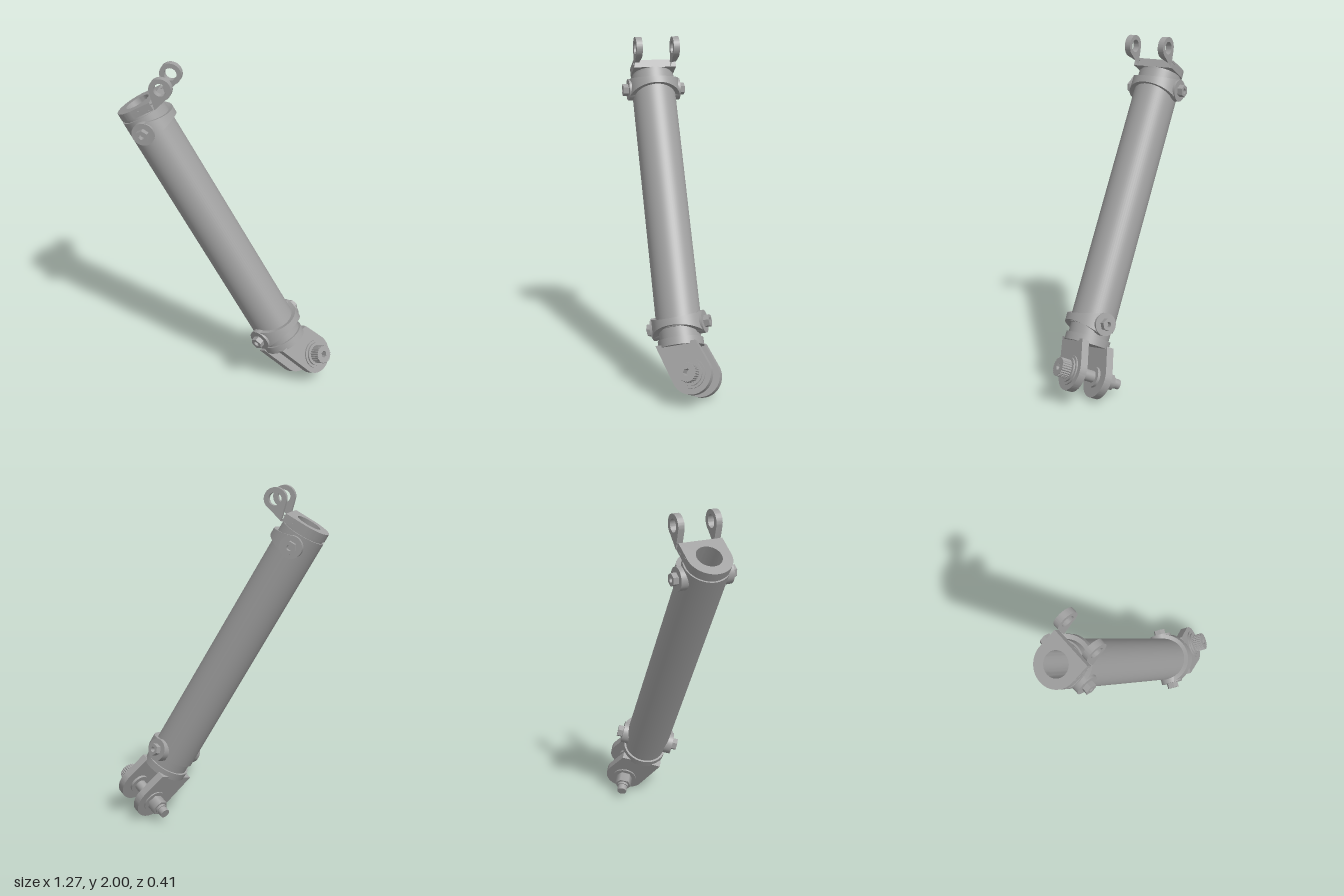
import * as THREE from 'three';
import { toCreasedNormals } from 'three/addons/utils/BufferGeometryUtils.js';

const steel = new THREE.MeshStandardMaterial({ color: 0xa0a0a0 });
steel.name = 'steel grey';

function add(parent, name, geometry, x = 0, y = 0, z = 0) {
  const mesh = new THREE.Mesh(geometry, steel);
  mesh.name = name;
  mesh.position.set(x, y, z);
  parent.add(mesh);
  return mesh;
}

function addGroup(parent, name) {
  const group = new THREE.Group();
  group.name = name;
  parent.add(group);
  return group;
}

const extrude = (shape, depth) =>
  toCreasedNormals(new THREE.ExtrudeGeometry(shape, { depth, bevelEnabled: false, curveSegments: 24 }), 0.6);

// Round hole or polygon hole of n sides
function hole(x, y, r, n = 32) {
  const pts = [];
  for (let i = 0; i < n; i++) {
    const a = (i / n) * Math.PI * 2;
    pts.push(new THREE.Vector2(x + r * Math.cos(a), y + r * Math.sin(a)));
  }
  return new THREE.Path(pts);
}

// Round eye joined by tangents to two base points (left and right of it)
function lugShape(cx, cy, r, base1, base2, holeR) {
  const tangent = ([x, y], side) =>
    Math.atan2(y - cy, x - cx) + side * Math.acos(r / Math.hypot(x - cx, y - cy));
  const a1 = tangent(base1, -1);
  const a2 = tangent(base2, 1);
  const shape = new THREE.Shape();
  shape.moveTo(...base1);
  shape.lineTo(cx + r * Math.cos(a1), cy + r * Math.sin(a1));
  shape.absarc(cx, cy, r, a1, a2, true);
  shape.lineTo(...base2);
  shape.closePath();
  if (holeR) shape.holes.push(hole(cx, cy, holeR));
  return shape;
}

// Half-round strap, narrow at +x and tall at the bolts
function strapGeometry(n = 36) {
  const rings = [];
  for (let i = 0; i <= n; i++) {
    const t = (i / n - 0.5) * Math.PI;
    const h = 0.066 - 0.046 * Math.cos(t);
    rings.push([[0.122, -h], [0.157, -h], [0.157, h], [0.122, h]]
      .map(([r, y]) => [r * Math.cos(t), y, r * Math.sin(t)]));
  }
  const pos = [];
  const quad = (a, b, c, d) => pos.push(...a, ...b, ...c, ...a, ...c, ...d);
  for (let i = 0; i < n; i++) {
    for (let k = 0; k < 4; k++) {
      const m = (k + 1) % 4;
      quad(rings[i][k], rings[i][m], rings[i + 1][m], rings[i + 1][k]);
    }
  }
  quad(...[...rings[0]].reverse());
  quad(...rings[n]);
  const g = new THREE.BufferGeometry();
  g.setAttribute('position', new THREE.Float32BufferAttribute(pos, 3));
  return toCreasedNormals(g, 0.6);
}

// Strap with an ear and a socketed hex bolt on each side
function addClamp(parent, name, y) {
  const clamp = addGroup(parent, name);
  clamp.position.y = y;
  add(clamp, 'strap', strapGeometry());
  const hex = new THREE.Shape(hole(0, 0, 0.037, 6).getPoints());
  hex.holes.push(hole(0, 0, 0.016, 16));
  for (const side of [1, -1]) {
    add(clamp, 'ear', new THREE.CylinderGeometry(0.066, 0.066, 0.058, 40), 0, 0, side * 0.129)
      .rotation.x = Math.PI / 2;
    add(clamp, 'hexBolt', extrude(hex, 0.033), 0, 0, side > 0 ? 0.157 : -0.19);
  }
}

export function createModel() {
  const model = new THREE.Group();
  model.name = 'strut';

  // Everything is built around the strut axis, then leaned over
  const strut = addGroup(model, 'leaningStrut');
  strut.rotation.z = Math.PI / 6;
  strut.position.set(0.388, 0.224, 0.008);

  // Tube with stepped necks and an open bore at the top
  const profile = [[0, 0.1], [0.12, 0.1], [0.12, 0.18], [0.131, 0.18], [0.131, 1.758], [0.122, 1.758],
    [0.122, 1.775], [0.073, 1.775], [0.073, 1.3], [0, 1.3]].map(([x, y]) => new THREE.Vector2(x, y));
  add(strut, 'tube', toCreasedNormals(new THREE.LatheGeometry(profile, 64), 0.6));

  // Upper fork: bored plate with a square front and two lugs
  const upper = addGroup(strut, 'upperFork');
  const plate = new THREE.Shape();
  plate.moveTo(0.12, -0.13);
  plate.lineTo(0.12, 0.13);
  plate.lineTo(0, 0.13);
  plate.absarc(0, 0, 0.13, Math.PI / 2, Math.PI * 1.5, false);
  plate.closePath();
  plate.holes.push(hole(0, 0, 0.073, 48));
  add(upper, 'headPlate', extrude(plate, 0.048), 0, 1.772, 0).rotation.x = -Math.PI / 2;
  const upperLug = lugShape(0.215, 1.857, 0.064, [0.125, 1.768], [0, 1.818], 0.037);
  // The eye lies up and to the right, so its base points run from lower to upper
  for (const z of [0.094, -0.131]) add(upper, 'upperLug', extrude(orient(upperLug), 0.037), 0, 0, z);
  addClamp(upper, 'upperClamp', 1.678);

  // Lower fork, turned about the axis
  const lower = addGroup(strut, 'lowerFork');
  lower.rotation.y = -Math.PI / 6;
  addClamp(lower, 'lowerClamp', 0.204);
  add(lower, 'basePlate', new THREE.CylinderGeometry(0.132, 0.132, 0.045, 64), 0, 0.098, 0);
  const lowerLug = lugShape(0.071, -0.095, 0.117, [0.118, 0.09], [-0.122, 0.09], 0);
  for (const x of [-0.115, 0.055]) {
    add(lower, 'lowerLug', extrude(orient(lowerLug), 0.045), x, 0, 0).rotation.y = Math.PI / 2;
  }

  // Pin through the lower lugs: [name, from, to, radius, sides]
  const pin = addGroup(lower, 'pinAssembly');
  pin.position.set(0, -0.095, -0.071);
  const pieces = [
    ['pinShaft', -0.2, 0.11, 0.034, 32],
    ['innerWasher', -0.07, -0.055, 0.06, 40],
    ['innerWasher', 0.04, 0.055, 0.06, 40],
    ['outerWasher', 0.1, 0.108, 0.085, 48],
    ['outerWasher', 0.108, 0.118, 0.07, 48],
    ['backWasher', -0.123, -0.115, 0.07, 48],
    ['hexNut', -0.185, -0.123, 0.05, 6],
    ['pinEnd', -0.235, -0.185, 0.029, 24],
  ];
  for (const [name, from, to, r, sides] of pieces) {
    add(pin, name, new THREE.CylinderGeometry(r, r, to - from, sides), (from + to) / 2, 0, 0)
      .rotation.z = -Math.PI / 2;
  }

  // Fluted cap screw head with a hex socket
  const flutes = [];
  for (let i = 0; i < 96; i++) {
    const a = (i / 96) * Math.PI * 2;
    const r = i % 4 < 2 ? 0.055 : 0.051;
    flutes.push(new THREE.Vector2(r * Math.cos(a), r * Math.sin(a)));
  }
  const cap = new THREE.Shape(flutes);
  cap.holes.push(hole(0, 0, 0.021, 6));
  add(pin, 'capHead', extrude(cap, 0.062), 0.116, 0, 0).rotation.y = Math.PI / 2;

  return model;
}

// Rebuild a lug outline from its sampled points, keeping its hole
function orient(shape) {
  const out = new THREE.Shape(shape.getPoints(24));
  out.holes = shape.holes;
  return out;
}
